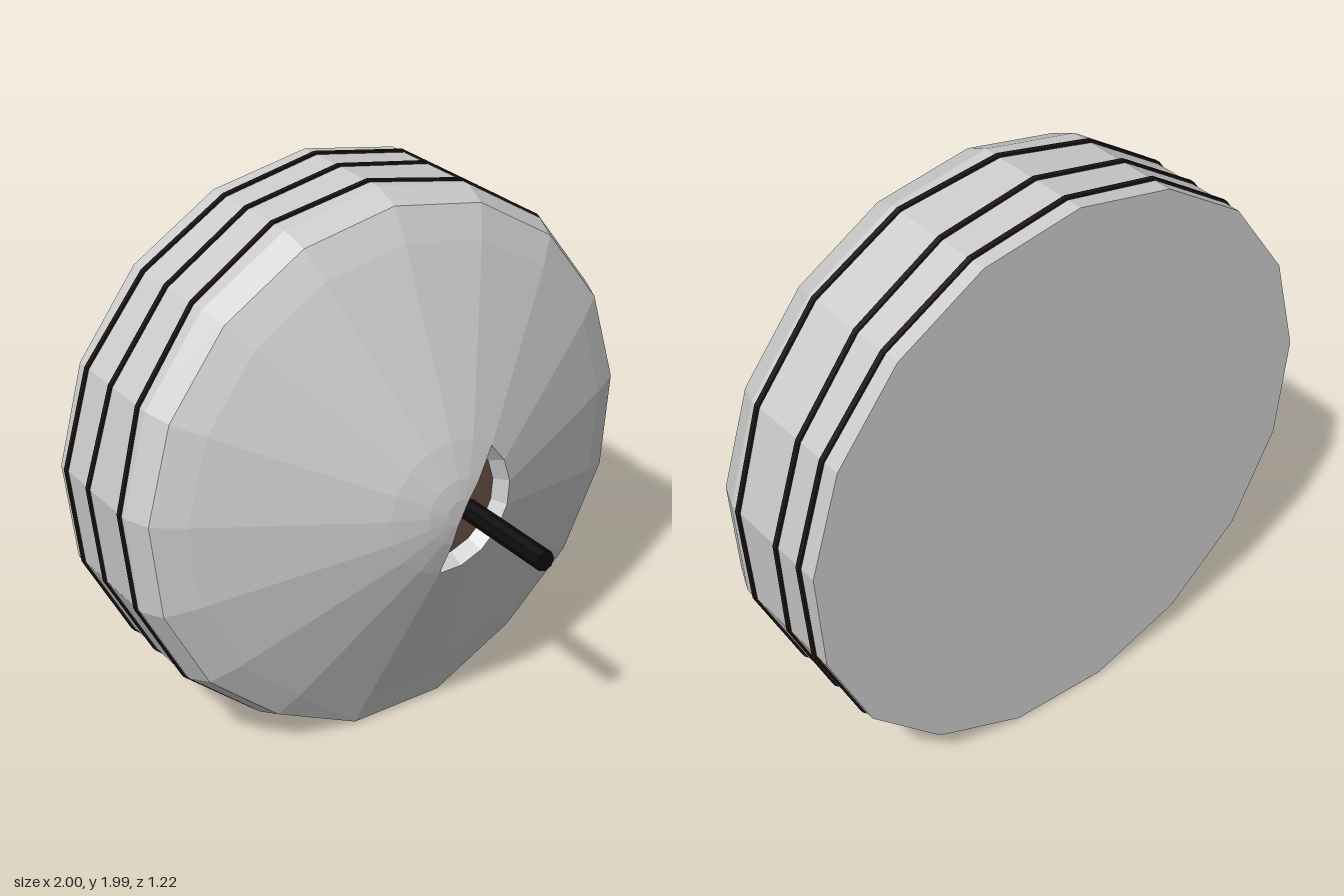
import * as THREE from 'three';

const N = 17, R = 0.996, CY = 0.988;   // sides, rim radius, axis height
const BACK = -0.61, FLOOR = 0.19;
const CUT_A = 2, CUT_B = 9;            // the tip is cut away between these corners

const mat = (color) => new THREE.MeshStandardMaterial({ color, flatShading: true, side: THREE.DoubleSide });

// Point on the axis-centred polygon; corner 0 is at the top, counted clockwise from the front
const pt = (k, r, z) => {
  const a = (k / N) * Math.PI * 2;
  return [r * Math.sin(a), CY + r * Math.cos(a), z];
};
const range = (a, b) => Array.from({ length: b - a + 1 }, (_, i) => a + i);
const ring = (a, b, r, z) => range(a, b).map((k) => pt(k, r, z));

// Faceted surface through rows of points
function surface(name, rows, material) {
  const pos = [];
  for (let i = 0; i < rows.length - 1; i++) {
    for (let j = 0; j < rows[i].length - 1; j++) {
      const a = rows[i][j], b = rows[i + 1][j], c = rows[i + 1][j + 1], d = rows[i][j + 1];
      pos.push(...a, ...b, ...c, ...a, ...c, ...d);
    }
  }
  const g = new THREE.BufferGeometry();
  g.setAttribute('position', new THREE.Float32BufferAttribute(pos, 3));
  g.computeVertexNormals();
  const mesh = new THREE.Mesh(g, material);
  mesh.name = name;
  return mesh;
}

export function createModel() {
  const group = new THREE.Group();
  group.name = 'model';
  const grey = mat(0xcccccc), brown = mat(0x604a3e), dark = mat(0x1c1512), black = mat(0x0c0c0c);

  // Drum wall with a bevelled front edge; the flat underside keeps its full radius
  const bevel = (k) => (k % N === 8 || k % N === 9 ? R : 0.958);
  const bevelRing = (a, b) => range(a, b).map((k) => pt(k, bevel(k), -0.08));
  const wall = (a, b) => [ring(a, b, R, BACK), ring(a, b, R, -0.17), bevelRing(a, b)];
  group.add(surface('drumWall', wall(9, 25), grey));
  group.add(surface('underside', wall(8, 9), brown));
  group.add(surface('backPlate', [ring(0, N, 0, BACK), ring(0, N, R, BACK)], grey));

  // Cone front
  group.add(surface('coneFront', [bevelRing(0, N), ring(0, N, 0.85, -0.02), ring(0, N, 0.245, 0.24)], grey));

  // Rounded tip, with one side cut away
  const tip = [[0.245, 0.24], [0.12, 0.28], [0.05, 0.292]];
  const end = CUT_A + N;
  const p = pt(CUT_A, 0.05, 0.292), q = pt(CUT_B, 0.05, 0.292);
  const mid = p.map((v, i) => (v + q[i]) / 2);
  const tipRows = tip.map(([r, z]) => ring(CUT_B, end, r, z));
  tipRows.push(range(CUT_B, end).map(() => mid));
  group.add(surface('tip', tipRows, grey));

  // Opening: sloped rim, floor and the cut face of the tip
  group.add(surface('openingRim', [ring(CUT_A, CUT_B, 0.245, 0.24), ring(CUT_A, CUT_B, 0.212, FLOOR)], grey));
  group.add(surface('openingFloor', [ring(0, N, 0.212, FLOOR), ring(0, N, 0, FLOOR)], brown));
  const edge = [
    ...tip.map(([r, z]) => pt(CUT_A, r, z)),
    ...[...tip].reverse().map(([r, z]) => pt(CUT_B, r, z)),
  ];
  group.add(surface('openingCutFace', [edge, edge.map(([x, y]) => [x, y, FLOOR])], brown));

  // Rod standing out of the opening
  const rod = new THREE.Mesh(new THREE.CylinderGeometry(0.037, 0.037, 0.42, 8), black);
  rod.name = 'rod';
  rod.rotation.x = Math.PI / 2;
  rod.position.set(0.105, 0.925, 0.4);
  group.add(rod);

  // Three uneven bands around the drum: z at each corner
  const bands = {
    frontBand: [-0.229, -0.207, -0.2, -0.202, -0.212, -0.22, -0.23, -0.235, -0.228,
      -0.222, -0.212, -0.203, -0.197, -0.197, -0.213, -0.229, -0.241],
    middleBand: [-0.402, -0.408, -0.412, -0.418, -0.417, -0.41, -0.403, -0.396, -0.392,
      -0.392, -0.398, -0.405, -0.412, -0.412, -0.393, -0.392, -0.4],
    backBand: [-0.545, -0.548, -0.545, -0.538, -0.538, -0.546, -0.555, -0.56, -0.562,
      -0.562, -0.56, -0.562, -0.566, -0.566, -0.556, -0.542, -0.537],
  };
  const section = [[-0.004, -0.009], [0.008, -0.009], [0.008, 0.009], [-0.004, 0.009]];
  for (const [name, zs] of Object.entries(bands)) {
    const rows = section.map(([dr, dz]) =>
      range(9, 25).map((k) => pt(k, R + dr, zs[k % N] + dz)));
    group.add(surface(name, rows, dark));
  }
  return group;
}
